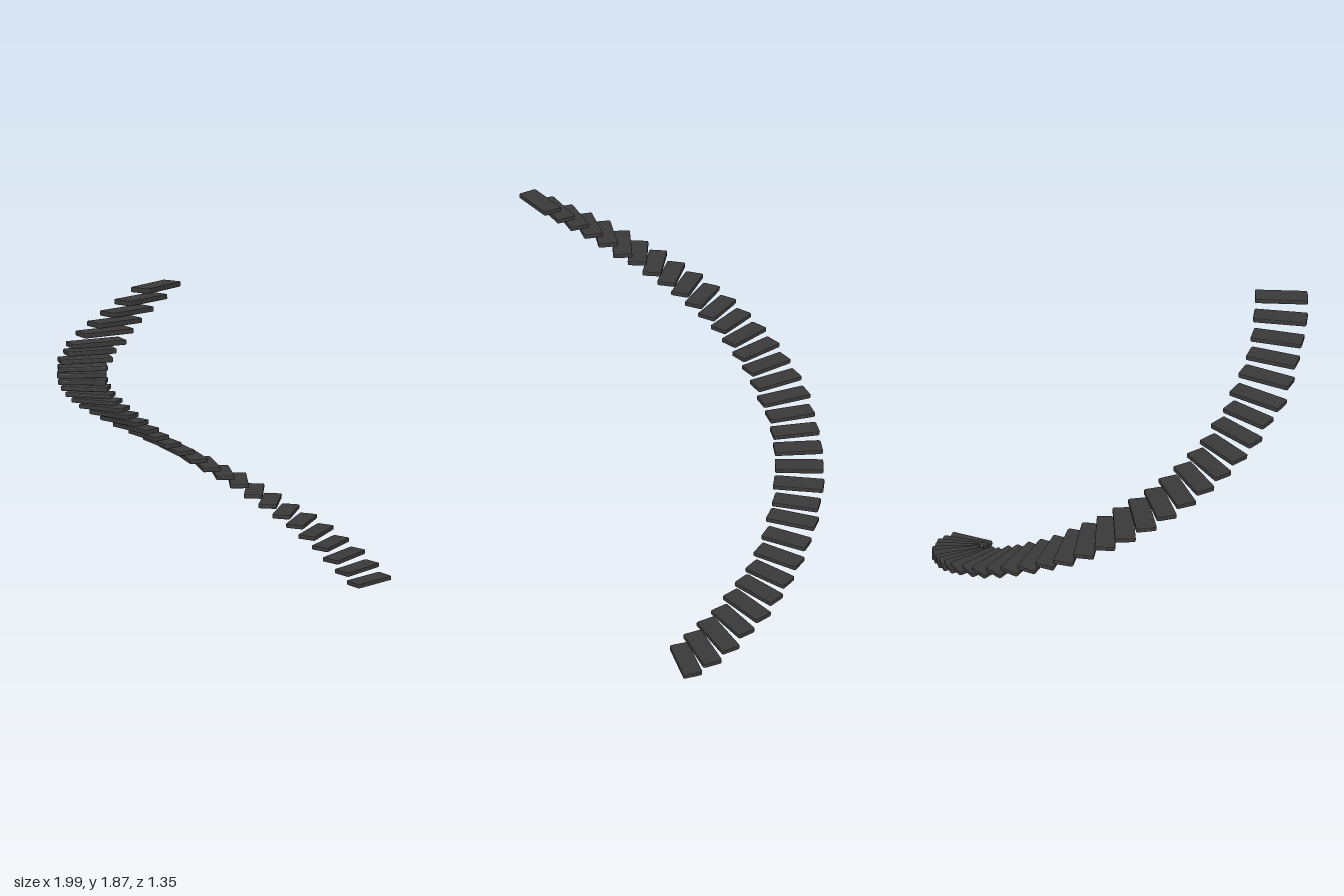
import * as THREE from 'three';

// Height of each tread's centre, and each tread's length
const heights = [
  0.013, 0.062, 0.116, 0.17, 0.224, 0.278, 0.326, 0.383, 0.438, 0.5, 0.548, 0.602,
  0.655, 0.71, 0.762, 0.815, 0.869, 0.925, 0.979, 1.032, 1.086, 1.139, 1.193, 1.246,
  1.3, 1.353, 1.412, 1.471, 1.527, 1.596, 1.658, 1.722, 1.789, 1.856];
const lengths = [
  0.251, 0.267, 0.272, 0.251, 0.265, 0.252, 0.245, 0.25, 0.248, 0.262, 0.245, 0.265,
  0.256, 0.256, 0.254, 0.252, 0.275, 0.27, 0.258, 0.262, 0.255, 0.247, 0.246, 0.247,
  0.25, 0.247, 0.264, 0.248, 0.28, 0.27, 0.257, 0.26, 0.272, 0.268];

const RADIUS = 0.862, CENTRE_Z = 0.32, TURN = 6; // degrees per tread
const WIDTH = 0.106, THICK = 0.024, BEVEL = 0.004;

function seeded(seed) {
  return () => {
    seed = (seed * 16807) % 2147483647;
    return seed / 2147483647;
  };
}

// Thin stone slab with slightly uneven chamfered corners and bevelled rims
function slab(length, rand) {
  const x = length / 2 - BEVEL, y = WIDTH / 2 - BEVEL;
  const shape = new THREE.Shape();
  const corners = [[1, -1], [1, 1], [-1, 1], [-1, -1]];
  corners.forEach(([sx, sy], i) => {
    const cut = 0.004 + 0.007 * rand();
    const cx = sx * x, cy = sy * (y - 0.003 * rand());
    const a = [cx - sx * cut, cy], b = [cx, cy - sy * cut];
    const [p, q] = sx * sy > 0 ? [b, a] : [a, b];
    if (i === 0) shape.moveTo(...p); else shape.lineTo(...p);
    shape.quadraticCurveTo(cx, cy, ...q);
  });
  shape.closePath();
  const depth = THICK - 2 * BEVEL;
  const geo = new THREE.ExtrudeGeometry(shape, {
    depth, curveSegments: 3, bevelEnabled: true,
    bevelThickness: BEVEL, bevelSize: BEVEL, bevelSegments: 2,
  });
  return geo.translate(0, 0, -depth / 2).rotateX(-Math.PI / 2);
}

export function createModel() {
  const group = new THREE.Group();
  group.name = 'spiralStairs';
  const stone = new THREE.MeshStandardMaterial({ color: 0x3a3a3a });
  const rand = seeded(41);

  // Floating treads climbing around an arc, each pointing at its centre
  heights.forEach((y, i) => {
    const a = THREE.MathUtils.degToRad(i * TURN + 0.3);
    const tread = new THREE.Mesh(slab(lengths[i], rand), stone);
    tread.name = `tread${i + 1}`;
    tread.position.set(RADIUS * Math.cos(a), y, CENTRE_Z - RADIUS * Math.sin(a));
    tread.rotation.y = a - 0.02 * Math.min(i / 4, 1);
    group.add(tread);
  });
  return group;
}
